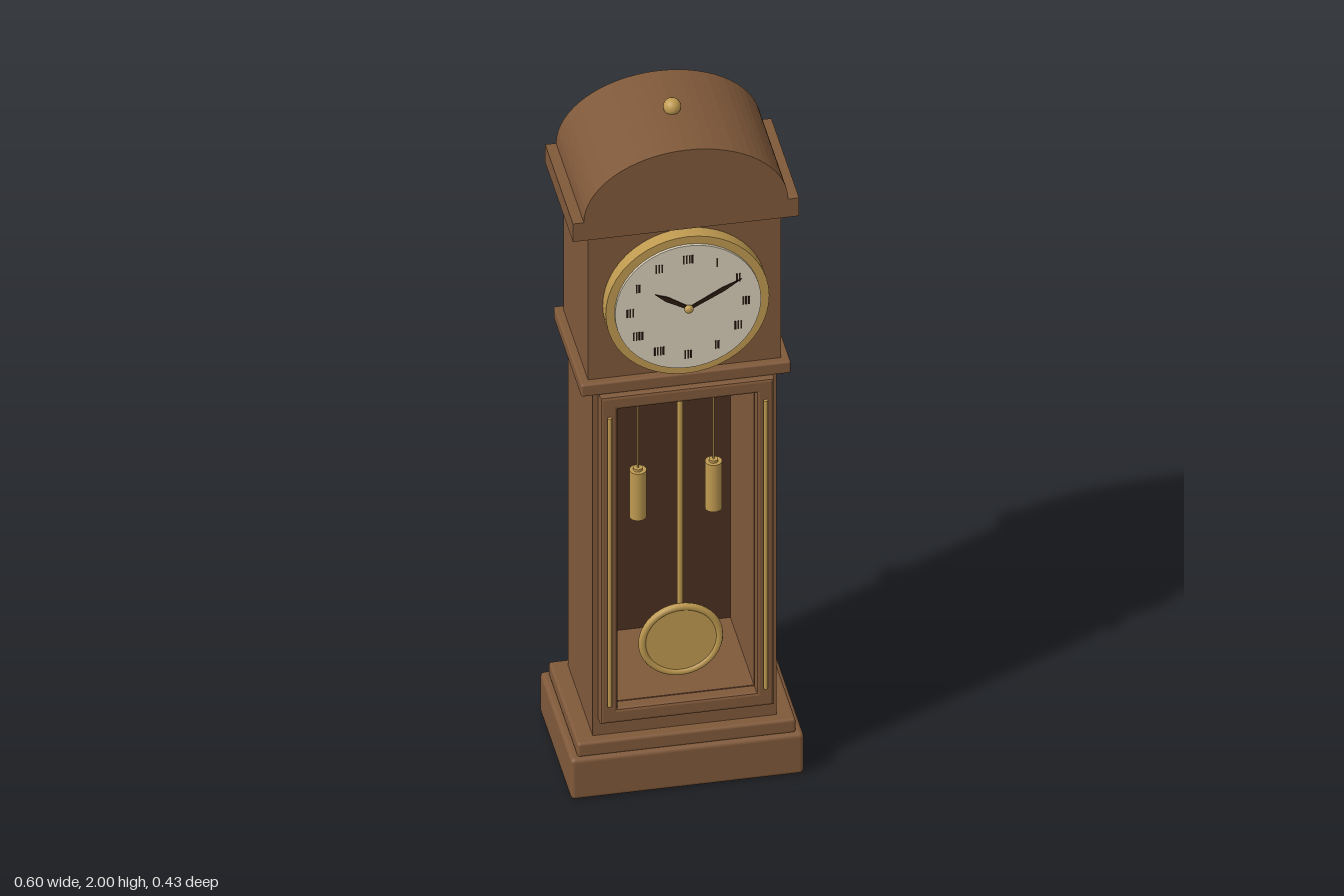
import * as THREE from 'three';
import { RoundedBoxGeometry } from 'three/addons/geometries/RoundedBoxGeometry.js';

const mat = (name, color) => Object.assign(new THREE.MeshStandardMaterial({ color }), { name });

export function createModel() {
  const wood = mat('walnut', 0x80593a);
  const darkWood = mat('dark panel', 0x4c3020);
  const brass = mat('brass', 0xbf9a50);
  const ivory = mat('ivory dial', 0xd8cdb8);
  const ink = mat('dark hands', 0x2c1a10);

  const group = new THREE.Group();
  group.name = 'longcaseClock';
  const add = (name, geo, material, x = 0, y = 0, z = 0, parent = group) => {
    const m = new THREE.Mesh(geo, material);
    m.name = name;
    m.position.set(x, y, z);
    parent.add(m);
    return m;
  };
  const midZ = -0.012;

  // Block between two heights, with softened edges when r > 0
  const block = (name, halfW, y0, y1, zBack, zFront, r = 0) => {
    const s = [halfW * 2, y1 - y0, zFront - zBack];
    const geo = r ? new RoundedBoxGeometry(...s, 2, r) : new THREE.BoxGeometry(...s);
    return add(name, geo, wood, 0, (y0 + y1) / 2, (zBack + zFront) / 2);
  };
  // Rectangular frame extruded along z
  const rect = (P, hw, y0, y1) => new P([[-hw, y0], [hw, y0], [hw, y1], [-hw, y1]].map(p => new THREE.Vector2(...p)));
  const frame = (name, outer, inner, zBack, zFront, bevel = 0) => {
    const s = rect(THREE.Shape, outer[0] - bevel, outer[1] + bevel, outer[2] - bevel);
    s.holes.push(rect(THREE.Path, inner[0] + bevel, inner[1] - bevel, inner[2] + bevel));
    const geo = new THREE.ExtrudeGeometry(s, {
      depth: zFront - zBack - bevel * 2, bevelEnabled: bevel > 0,
      bevelSize: bevel, bevelThickness: bevel, bevelSegments: 2,
    });
    return add(name, geo, wood, 0, 0, zBack + bevel);
  };

  // Base, hollow waist and hood
  block('base', 0.302, 0, 0.125, -0.216, 0.19, 0.012);
  block('plinth', 0.283, 0.122, 0.165, -0.197, 0.178, 0.008);
  frame('waistCase', [0.238, 0.16, 1.24], [0.18, 0.265, 1.195], -0.17, 0.148);
  frame('doorFrame', [0.225, 0.222, 1.236], [0.18, 0.265, 1.195], 0.146, 0.186, 0.008);
  block('waistMoulding', 0.272, 1.235, 1.272, -0.189, 0.17, 0.006);
  block('hood', 0.25, 1.27, 1.722, -0.17, 0.148);
  block('cornice', 0.293, 1.72, 1.776, -0.19, 0.168);
  add('backPanel', new THREE.BoxGeometry(0.362, 0.932, 0.012), darkWood, 0, 0.73, -0.162);

  // Arched top
  const arch = new THREE.Shape();
  arch.absellipse(0, 0, 0.265, 0.19, 0, Math.PI, false, 0);
  arch.closePath();
  add('archedTop', new THREE.ExtrudeGeometry(arch, { depth: 0.358, bevelEnabled: false, curveSegments: 16 }),
    wood, 0, 1.775, -0.19);
  add('finial', new THREE.SphereGeometry(0.023, 20, 14), brass, 0, 1.977, midZ);

  // Dial, facing +z, around its own centre
  const dial = new THREE.Group();
  dial.name = 'dial';
  dial.position.set(0, 1.497, 0);
  group.add(dial);
  const disc = (name, r, z0, z1, material, parent, y = 0) => {
    const geo = new THREE.CylinderGeometry(r, r, z1 - z0, 48).rotateX(Math.PI / 2);
    return add(name, geo, material, 0, y, (z0 + z1) / 2, parent);
  };
  disc('bezel', 0.212, 0.146, 0.187, brass, dial);
  disc('dialPlate', 0.189, 0.18, 0.195, ivory, dial);

  // Hour marks: small upright strokes
  const strokes = [4, 1, 2, 3, 3, 2, 3, 4, 4, 3, 2, 3];
  strokes.forEach((n, h) => {
    const a = h * Math.PI / 6;
    for (let i = 0; i < n; i++) {
      add('hourMark', new THREE.BoxGeometry(0.004, 0.024, 0.003), ink,
        Math.sin(a) * 0.15 + (i - (n - 1) / 2) * 0.0075, Math.cos(a) * 0.147, 0.196, dial);
    }
  });

  // Tapered hands
  const hand = (name, dx, dy, w, z) => {
    const len = Math.hypot(dx, dy);
    const s = new THREE.Shape([[-0.004, -0.01], [0.004, -0.01], [w, len * 0.65], [0, len], [-w, len * 0.65]]
      .map(p => new THREE.Vector2(...p)));
    const m = add(name, new THREE.ExtrudeGeometry(s, { depth: 0.003, bevelEnabled: false }), ink, 0, 0, z, dial);
    m.rotation.z = Math.atan2(-dx, dy);
  };
  hand('hourHand', -0.087, 0.053, 0.007, 0.199);
  hand('minuteHand', 0.137, 0.075, 0.006, 0.203);
  add('handHub', new THREE.SphereGeometry(0.012, 16, 10).scale(1, 1, 0.75), brass, 0, 0, 0.206, dial);

  // Upright brass rod between two heights
  const rod = (name, r, x, y0, y1, z) =>
    add(name, new THREE.CylinderGeometry(r, r, y1 - y0, 20), brass, x, (y0 + y1) / 2, z);

  // Door columns and hanging weights, mirrored
  for (const s of [-1, 1]) {
    rod('doorColumn', 0.006, s * 0.202, 0.28, 1.175, 0.189);
    rod('weight', 0.022, s * 0.098, 0.75, 0.895, 0.035);
    rod('weightCap', 0.012, s * 0.098, 0.894, 0.902, 0.035);
    rod('weightCord', 0.0025, s * 0.098, 0.9, 1.2, 0.035);
  }

  // Pendulum
  rod('pendulumRod', 0.008, 0, 0.4, 1.2, 0.09);
  disc('pendulumBob', 0.098, 0.08, 0.104, brass, group, 0.4);
  add('bobRim', new THREE.TorusGeometry(0.1, 0.01, 8, 48), brass, 0, 0.4, 0.1);

  return group;
}
